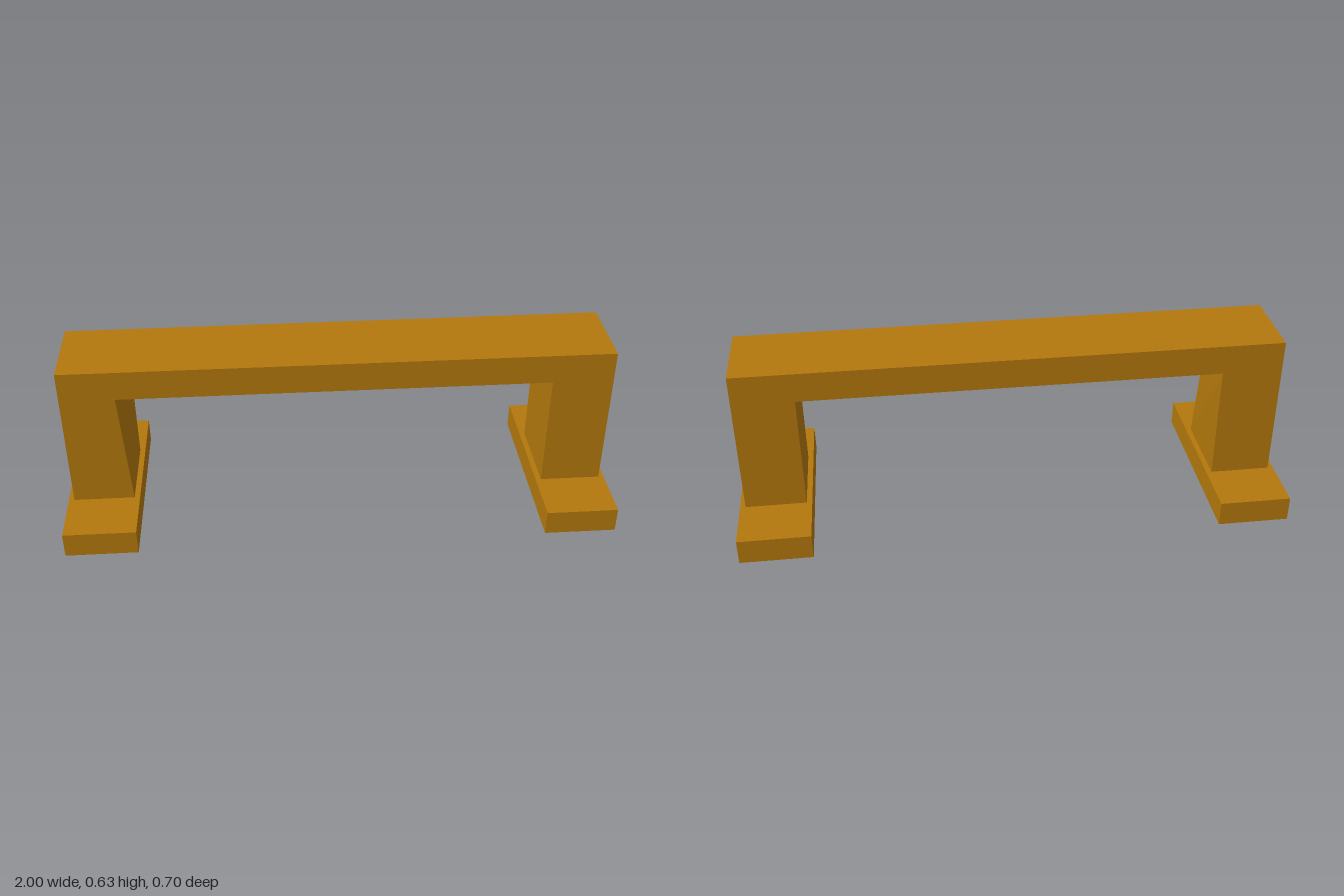
import * as THREE from 'three';

export function createModel() {
  const model = new THREE.Group();
  model.name = 'archedStand';
  const ochre = new THREE.MeshStandardMaterial({ color: 0xb3780d });
  ochre.name = 'ochre';

  const footTop = 0.093, under = 0.525, top = 0.635;
  const outer = 0.98, inner = 0.76, halfDepth = 0.15;

  // Arch: two legs joined by a crossbeam
  const profile = new THREE.Shape([
    [-outer, footTop], [-inner, footTop], [-inner, under], [inner, under],
    [inner, footTop], [outer, footTop], [outer, top], [-outer, top],
  ].map(([x, y]) => new THREE.Vector2(x, y)));
  const archGeometry = new THREE.ExtrudeGeometry(profile, { depth: halfDepth * 2, bevelEnabled: false });
  archGeometry.translate(0, 0, -halfDepth);

  // The right leg's inner face leans outward at its top front corner
  const p = archGeometry.attributes.position;
  for (let i = 0; i < p.count; i++) {
    const atCorner = Math.abs(p.getX(i) + inner) < 0.001 && Math.abs(p.getY(i) - under) < 0.001;
    if (atCorner && p.getZ(i) > 0) p.setX(i, -0.786);
  }
  archGeometry.computeVertexNormals();
  const arch = new THREE.Mesh(archGeometry, ochre);
  arch.name = 'arch';
  model.add(arch);

  // Feet
  for (const side of [-1, 1]) {
    const foot = new THREE.Mesh(new THREE.BoxGeometry(0.26, footTop, 0.704), ochre);
    foot.name = side > 0 ? 'leftFoot' : 'rightFoot';
    foot.position.set(side * 0.87, footTop / 2, 0);
    model.add(foot);
  }
  return model;
}
